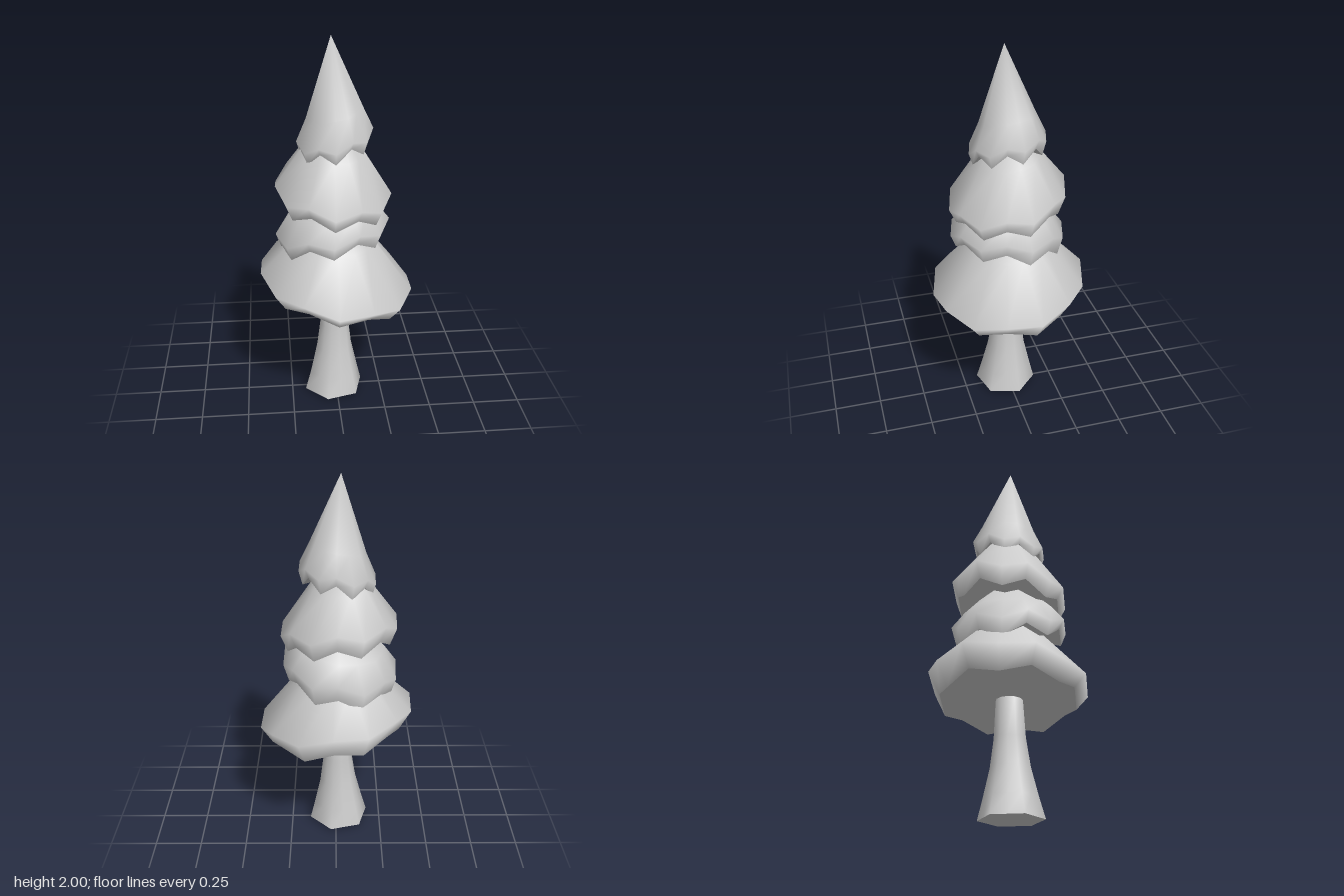
import * as THREE from 'three';

const grey = new THREE.MeshStandardMaterial({ color: 0xcccccc });
grey.name = 'plain grey';

// Joins stacked rings (top to bottom) of n points, closed by a point at each end.
// The last ring is doubled so the underside meets the side at a sharp edge.
function loft(top, rings, bottom) {
  const n = rings[0].length;
  const hem = rings[rings.length - 1];
  const points = [top, ...rings.flat(), ...hem, bottom];
  const last = points.length - 1;
  const index = [];
  const at = (k, i) => 1 + k * n + (i % n);
  for (let i = 0; i < n; i++) {
    index.push(0, at(0, i + 1), at(0, i));
    for (let k = 0; k < rings.length - 1; k++) {
      const a = at(k, i), b = at(k, i + 1), c = at(k + 1, i), d = at(k + 1, i + 1);
      index.push(a, b, d, a, d, c);
    }
    index.push(last, at(rings.length, i), at(rings.length, i + 1));
  }
  const g = new THREE.BufferGeometry();
  g.setAttribute('position', new THREE.Float32BufferAttribute(points.flat(), 3));
  g.setIndex(index);
  g.computeVertexNormals();
  return g;
}

// One layer of foliage: a tilted, softly pleated cone with seven teeth along its hem.
// Each ring: radius r, height y at a tooth, extra height at a notch (rise),
// pleat depth at a tooth (pleat) and tilt along x and z.
function foliage({ apex, center, rings, under }) {
  const loops = rings.map(({ r, y, rise = 0, pleat = 0, tilt }) =>
    Array.from({ length: 14 }, (_, i) => {
      const a = THREE.MathUtils.degToRad(92) + (i * Math.PI) / 7;
      const notch = i % 2;
      const radius = r * (notch ? 1 : 1 - pleat);
      const x = radius * Math.cos(a), z = radius * Math.sin(a);
      return [center + x, y + notch * rise + tilt[0] * x + tilt[1] * z, z];
    }));
  return loft(apex, loops, [center, under, 0]);
}

// Trunk flaring into six root lobes
function trunk() {
  const profile = [
    // y, radius, lobe depth
    [0.62, 0.07, 0.0], [0.42, 0.081, 0.03], [0.27, 0.102, 0.06],
    [0.12, 0.138, 0.1], [0.015, 0.166, 0.14],
  ];
  const rings = profile.map(([y, r, lobe], k) =>
    Array.from({ length: 12 }, (_, i) => {
      const a = Math.PI / 4 + (i * Math.PI) / 6;
      const rr = r * (1 - (i % 2) * lobe);
      return [-0.007 - 0.002 * k + rr * Math.cos(a), y, 0.004 + 0.002 * k + rr * Math.sin(a)];
    }));
  return loft([-0.007, 0.64, 0], rings, [-0.015, 0, 0.01]);
}

const tiers = [
  { name: 'lowestFoliage', apex: [0, 1.17, 0], center: 0, under: 0.62, rings: [
    { r: 0.215, y: 0.94, pleat: 0.08, tilt: [-0.1, -0.08] },
    { r: 0.412, y: 0.695, rise: 0.03, tilt: [-0.14, -0.1] },
    { r: 0.35, y: 0.595, rise: 0.04, tilt: [-0.14, -0.03] }] },
  { name: 'lowerMiddleFoliage', apex: [-0.02, 1.34, 0], center: -0.022, under: 0.97, rings: [
    { r: 0.235, y: 1.11, pleat: 0.06, tilt: [0.13, 0.06] },
    { r: 0.302, y: 0.98, rise: 0.045, tilt: [0.13, 0.06] },
    { r: 0.275, y: 0.895, rise: 0.06, tilt: [0.13, 0.13] }] },
  { name: 'upperMiddleFoliage', apex: [-0.015, 1.66, 0], center: -0.016, under: 1.17, rings: [
    { r: 0.175, y: 1.42, pleat: 0.08, tilt: [-0.08, -0.13] },
    { r: 0.305, y: 1.195, rise: 0.045, tilt: [-0.08, -0.15] },
    { r: 0.27, y: 1.108, rise: 0.055, tilt: [-0.08, -0.11] }] },
  { name: 'topFoliage', apex: [-0.025, 2, 0.01], center: -0.008, under: 1.49, rings: [
    { r: 0.148, y: 1.625, pleat: 0.09, tilt: [0.18, -0.13] },
    { r: 0.197, y: 1.485, rise: 0.035, tilt: [0.18, -0.13] },
    { r: 0.178, y: 1.418, rise: 0.06, tilt: [0.18, -0.1] }] },
];

export function createModel() {
  const tree = new THREE.Group();
  tree.name = 'tree';
  const add = (name, geometry) => {
    const mesh = new THREE.Mesh(geometry, grey);
    mesh.name = name;
    tree.add(mesh);
  };
  add('trunk', trunk());
  for (const tier of tiers) add(tier.name, foliage(tier));
  return tree;
}
